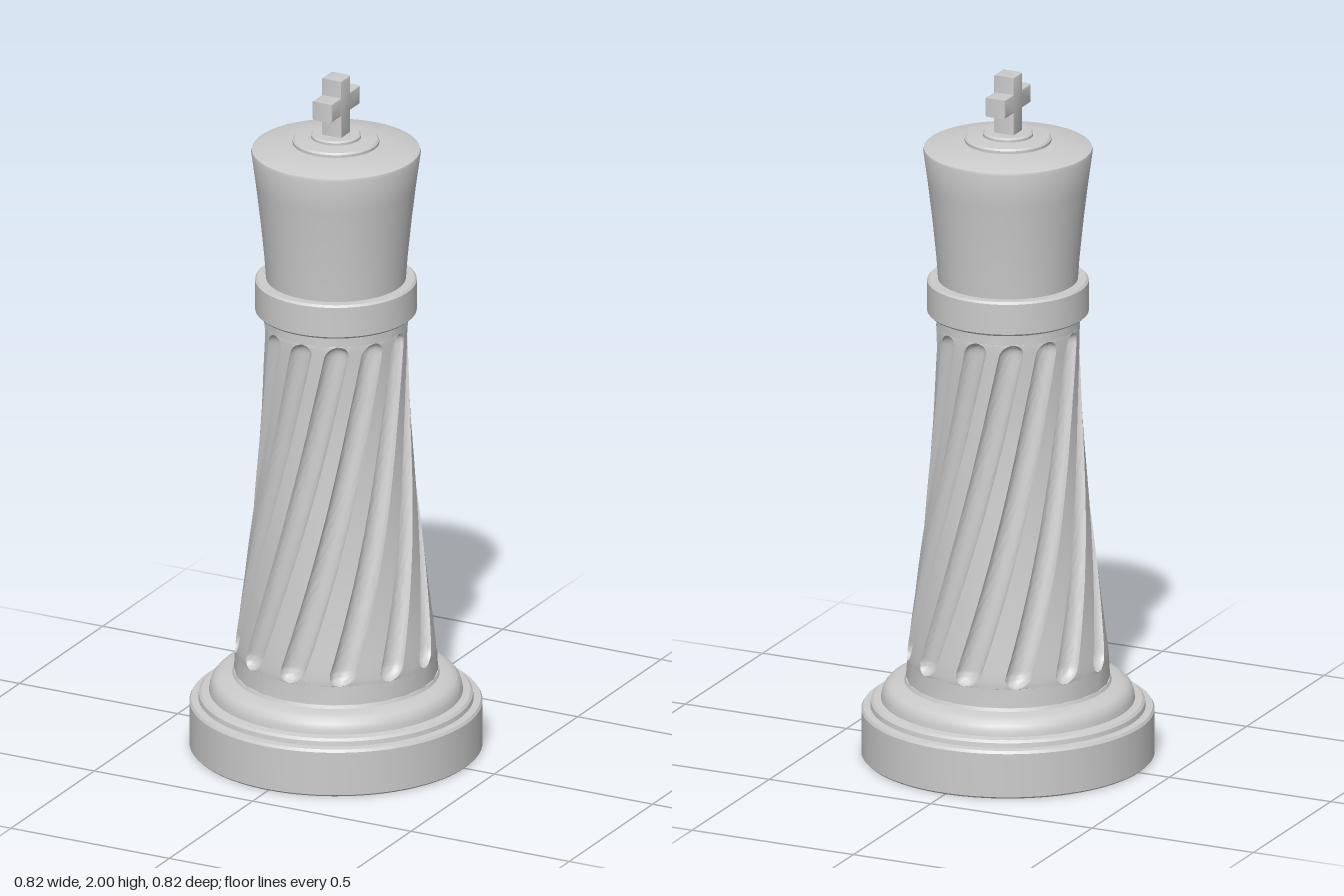
import * as THREE from 'three';
import { toCreasedNormals } from 'three/addons/utils/BufferGeometryUtils.js';

const material = new THREE.MeshStandardMaterial({ color: 0xcccccc });

function addMesh(group, name, geometry, crease = 0.5) {
  const mesh = new THREE.Mesh(toCreasedNormals(geometry, crease), material);
  mesh.name = name;
  group.add(mesh);
  return mesh;
}

// Turned part from [radius, height] pairs, listed from bottom to top
function turned(profile) {
  return new THREE.LatheGeometry(profile.map(([r, y]) => new THREE.Vector2(r, y)), 96);
}

// Tapered shaft with twisted flutes that end in round tips
function flutedShaft() {
  const flutes = 12, twist = Math.PI / 3, depth = 0.028;
  const y0 = 0.21, y1 = 1.31, low = 0.28, high = 1.265;
  const taper = new THREE.SplineCurve([
    [0.287, 0.2], [0.281, 0.3], [0.262, 0.45], [0.241, 0.63],
    [0.218, 0.86], [0.205, 1.06], [0.2, 1.32],
  ].map(([r, y]) => new THREE.Vector2(r, y))).getPoints(120);
  const radiusAt = (y) => {
    const k = Math.max(1, taper.findIndex((p) => p.y >= y));
    const a = taper[k - 1], b = taper[k];
    return a.x + (b.x - a.x) * (y - a.y) / (b.y - a.y);
  };

  // Rows are closer together at the round tips
  const rows = [y0];
  for (let i = 0; i <= 64; i++) {
    rows.push(low + (high - low) * (1 - Math.cos(Math.PI * i / 64)) / 2);
  }
  rows.push(y1);

  const across = 12, perFlute = across + 2, columns = flutes * perFlute;
  const sector = 2 * Math.PI / flutes;
  const positions = [], indices = [];
  rows.forEach((y) => {
    const r = radiusAt(y);
    const width = 0.034 + 0.05 * (r - 0.2);
    const end = Math.min(y - low, high - y);
    const tip = end <= 0 ? 0 : end >= width ? 1 : Math.sqrt(1 - (1 - end / width) ** 2);
    const half = Math.max(tip, 0.02) * width / r;
    const turn = twist * (y - low) / (high - low);
    for (let j = 0; j <= columns; j++) {
      const flute = Math.floor(j / perFlute), k = j % perFlute;
      let angle = sector / 2, cut = 0;
      if (k <= across) {
        const s = -Math.cos(Math.PI * k / across);
        angle = s * half;
        cut = depth * tip * Math.sqrt(Math.max(0, 1 - s * s));
      }
      angle += flute * sector + turn;
      positions.push((r - cut) * Math.sin(angle), y, (r - cut) * Math.cos(angle));
    }
  });
  const stride = columns + 1;
  for (let i = 0; i < rows.length - 1; i++) {
    for (let j = 0; j < columns; j++) {
      const a = i * stride + j, b = a + 1, c = a + stride, d = c + 1;
      indices.push(a, b, d, a, d, c);
    }
  }
  const geometry = new THREE.BufferGeometry();
  geometry.setAttribute('position', new THREE.Float32BufferAttribute(positions, 3));
  geometry.setIndex(indices);
  return geometry;
}

// Cross outline with slightly bevelled edges, its arms along z
function crossGeometry() {
  const p = 0.024, arm = 0.08, bottom = 1.825, top = 1.995, a0 = 1.9, a1 = 1.945;
  const half = [[p, bottom], [p, a0], [arm, a0], [arm, a1], [p, a1], [p, top]];
  const mirrored = half.map(([x, y]) => [-x, y]).reverse();
  const shape = new THREE.Shape([...half, ...mirrored].map(([x, y]) => new THREE.Vector2(x, y)));
  const geometry = new THREE.ExtrudeGeometry(shape, {
    depth: 0.052, bevelEnabled: true, bevelThickness: 0.005, bevelSize: 0.005, bevelSegments: 2,
  });
  geometry.translate(0, 0, -0.026);
  geometry.rotateY(Math.PI / 2);
  return geometry;
}

export function createModel() {
  const model = new THREE.Group();
  model.name = 'chessKing';

  // Stepped foot
  addMesh(model, 'base', turned([
    [0, 0], [0.405, 0], [0.41, 0.005], [0.41, 0.132], [0.405, 0.14],
    [0.385, 0.142], [0.383, 0.155], [0.376, 0.162], [0.355, 0.165],
    [0.353, 0.178], [0.348, 0.193], [0.337, 0.206], [0.32, 0.213],
    [0.29, 0.217], [0.286, 0.226], [0, 0.226],
  ]));

  addMesh(model, 'flutedShaft', flutedShaft(), 0.6);

  // Ring between the shaft and the head
  addMesh(model, 'collar', turned([
    [0, 1.3], [0.22, 1.3], [0.226, 1.306], [0.226, 1.394], [0.22, 1.4], [0, 1.4],
  ]));

  // Flared head with a shallow domed top
  addMesh(model, 'crown', turned([
    [0.195, 1.39], [0.2, 1.46], [0.211, 1.57], [0.224, 1.68], [0.237, 1.775],
    [0.235, 1.783], [0.22, 1.788], [0.17, 1.797], [0.12, 1.803], [0, 1.806],
  ]));

  // Two small stacked discs under the cross
  addMesh(model, 'finialDiscs', turned([
    [0.121, 1.795], [0.121, 1.811], [0.116, 1.816], [0.07, 1.82],
    [0.07, 1.827], [0.065, 1.831], [0, 1.831],
  ]));

  addMesh(model, 'cross', crossGeometry());

  return model;
}
